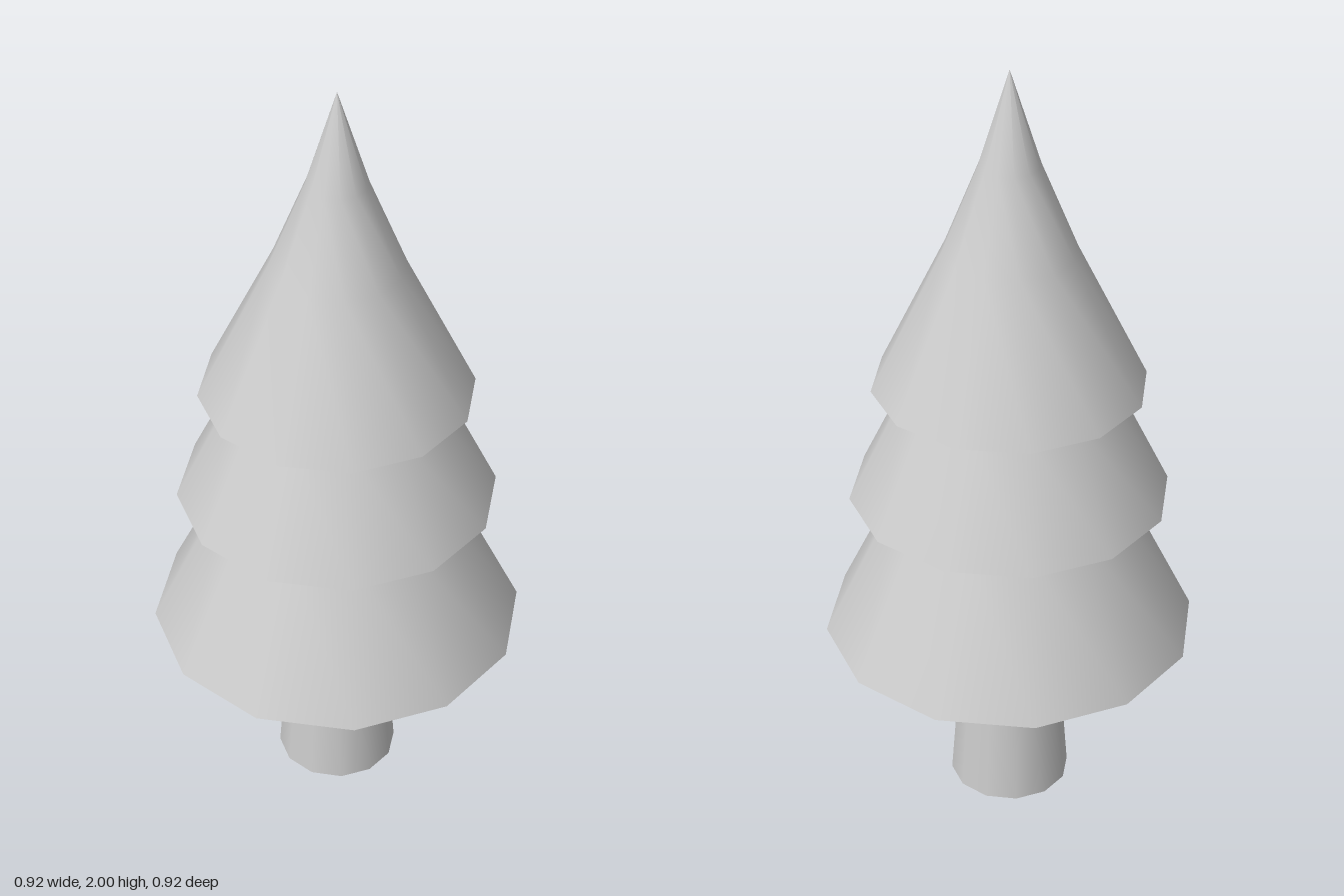
import * as THREE from 'three';

const SIDES = 12;
const DEG = Math.PI / 180;

export function createModel() {
  const tree = new THREE.Group();
  tree.name = 'pineTree';
  const material = new THREE.MeshStandardMaterial({ color: 0xcccccc });
  const hollow = new THREE.MeshStandardMaterial({ color: 0xcccccc, side: THREE.DoubleSide });

  // Twelve-sided surface turned from [radius, height] pairs, flat side to the front
  function turned(name, profile, twist, parent, mat = material) {
    const points = profile.map(([r, y]) => new THREE.Vector2(r, y));
    const mesh = new THREE.Mesh(new THREE.LatheGeometry(points, SIDES), mat);
    mesh.rotation.y = (15 + twist) * DEG;
    mesh.name = name;
    parent.add(mesh);
  }

  // Tapered trunk, open at the bottom
  turned('trunk', [[0.156, 0], [0.119, 0.49]], 0, tree, hollow);

  // Branch tiers: sloping skirt plus a flat underside reaching in to the part below
  const tiers = [
    { name: 'lowerTier', twist: 0.9, inner: 0.11, profile: [[0.475, 0.487], [0.283, 0.88]] },
    { name: 'middleTier', twist: 0.9, inner: 0.275, profile: [[0.403, 0.88], [0.253, 1.187]] },
    { name: 'topTier', twist: 1.8, inner: 0.245,
      profile: [[0.341, 1.187], [0.165, 1.545], [0.075, 1.765], [0, 2]] },
  ];
  for (const { name, twist, inner, profile } of tiers) {
    const tier = new THREE.Group();
    tier.name = name;
    const [rimRadius, rimY] = profile[0];
    turned(name + 'Skirt', profile, twist, tier);
    turned(name + 'Underside', [[inner, rimY], [rimRadius, rimY]], twist, tier);
    tree.add(tier);
  }
  return tree;
}
